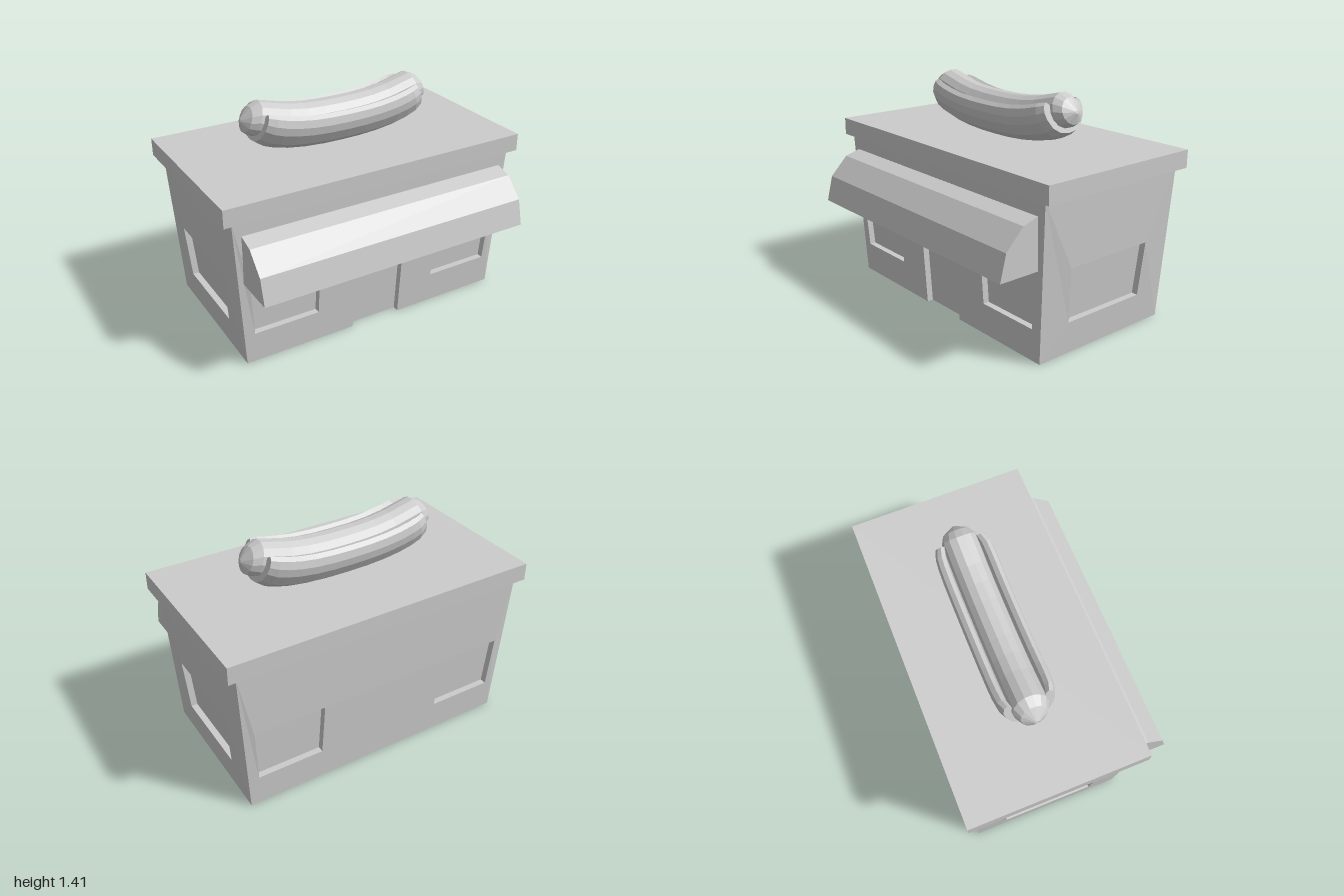
import * as THREE from 'three';

const MID_Z = -0.1125, HEIGHT = 0.97, RECESS = 0.04;
const material = new THREE.MeshStandardMaterial({ color: 0xcccccc, flatShading: true });

function part(name, geometry) {
  const mesh = new THREE.Mesh(geometry, material);
  mesh.name = name;
  return mesh;
}

function fromTriangles(positions, index) {
  const g = new THREE.BufferGeometry();
  g.setAttribute('position', new THREE.Float32BufferAttribute(positions, 3));
  if (index) g.setIndex(index);
  g.computeVertexNormals();
  return g;
}

// distance of a wall from the middle at height y: steep below the window heads, nearly upright above
function wallOut([bottom, head, top], y) {
  return y < 0.54
    ? THREE.MathUtils.lerp(bottom, head, y / 0.54)
    : THREE.MathUtils.lerp(head, top, (y - 0.54) / (HEIGHT - 0.54));
}

const v2 = (x, y) => new THREE.Vector2(x, y);

// flat shape pushed out to lean with its wall
function leaning(shape, out, inset = 0) {
  const g = new THREE.ShapeGeometry(shape);
  const p = g.attributes.position;
  for (let i = 0; i < p.count; i++) p.setZ(i, wallOut(out, p.getY(i)) - inset);
  g.computeVertexNormals();
  return g;
}

// sides of an opening, from the wall face back to the pane
function reveal(points, out) {
  const pos = [];
  points.forEach((p, i) => {
    const q = points[(i + 1) % points.length];
    if (p.y === 0 && q.y === 0) return;
    const zp = wallOut(out, p.y), zq = wallOut(out, q.y);
    const a = [p.x, p.y, zp], b = [q.x, q.y, zq];
    const c = [q.x, q.y, zq - RECESS], d = [p.x, p.y, zp - RECESS];
    pos.push(...a, ...b, ...c, ...a, ...c, ...d);
  });
  return fromTriangles(pos);
}

// one tapered wall facing +z, with recessed windows and an optional door
function makeWall(name, halfBottom, halfTop, out, windows, door) {
  const group = new THREE.Group();
  group.name = name;
  const outline = [v2(-halfBottom, 0)];
  if (door) outline.push(door[0], door[3], door[2], door[1]);
  outline.push(v2(halfBottom, 0), v2(halfTop, HEIGHT), v2(-halfTop, HEIGHT));
  const shape = new THREE.Shape(outline);
  windows.forEach((w) => shape.holes.push(new THREE.Path(w)));
  group.add(part('wallFace', leaning(shape, out)));
  const addOpening = (label, points) => {
    group.add(part(label + 'Pane', leaning(new THREE.Shape(points), out, RECESS)));
    group.add(part(label + 'Reveal', reveal(points, out)));
  };
  windows.forEach((w) => addOpening('window', w));
  if (door) addOpening('door', door);
  return group;
}

// centre line of the roof ornament, rising towards both ends
const RISE = 0.065, POWER = 2.6, END = 0.53;
function centreLine(x) {
  const k = Math.min(Math.abs(x), END) / 0.5;
  const slope = Math.sign(x) * RISE * POWER / 0.5 * k ** (POWER - 1);
  return { y: 1.235 + RISE * k ** POWER, angle: Math.atan(slope) };
}

// sweeps a (z, y) profile along the centre line; stations are [x, scale]
function sweep(halfStations, profile) {
  const stations = [...halfStations.slice(1).reverse().map(([x, s]) => [-x, s]), ...halfStations];
  const n = profile.length, pos = [], index = [];
  stations.forEach(([x, s], i) => {
    const { y, angle } = centreLine(x);
    profile.forEach((p, j) => {
      pos.push(x - Math.sin(angle) * p.y * s, y + Math.cos(angle) * p.y * s, MID_Z + p.x * s);
      if (i === stations.length - 1) return;
      const a = i * n + j, b = i * n + (j + 1) % n;
      index.push(a, a + n, b, b, a + n, b + n);
    });
  });
  const last = (stations.length - 1) * n;
  THREE.ShapeUtils.triangulateShape(profile, []).forEach(([a, b, c]) => {
    index.push(a, b, c, last + a, last + c, last + b);
  });
  return fromTriangles(pos, index);
}

export function createModel() {
  const model = new THREE.Group();
  model.name = 'foodStand';

  // walls
  const building = new THREE.Group();
  building.name = 'building';
  building.position.z = MID_Z;
  const rightWindow = [v2(0.415, 0.2), v2(0.835, 0.2), v2(0.855, 0.54), v2(0.405, 0.54)];
  const leftWindow = rightWindow.map((p) => v2(-p.x, p.y)).reverse();
  const sideWindow = [v2(-0.288, 0.2), v2(0.288, 0.2), v2(0.305, 0.54), v2(-0.305, 0.54)];
  const door = [v2(-0.168, 0), v2(0.168, 0), v2(0.18, 0.54), v2(-0.18, 0.54)];
  const outX = [0.89, 0.932, 0.945], outZ = [0.49, 0.517, 0.5225];
  const pair = [leftWindow, rightWindow];
  [
    makeWall('frontWall', 0.89, 0.945, outZ, pair, door),
    makeWall('leftWall', 0.49, 0.5225, outX, [sideWindow]),
    makeWall('backWall', 0.89, 0.945, outZ, pair),
    makeWall('rightWall', 0.49, 0.5225, outX, [sideWindow]),
  ].forEach((wall, i) => {
    wall.rotation.y = i * Math.PI / 2;
    building.add(wall);
  });

  // underside, notched at the doorway
  const d = 0.49 - RECESS;
  const floor = new THREE.ShapeGeometry(new THREE.Shape([
    v2(-0.89, -0.49), v2(-0.168, -0.49), v2(-0.168, -d), v2(0.168, -d),
    v2(0.168, -0.49), v2(0.89, -0.49), v2(0.89, 0.49), v2(-0.89, 0.49),
  ]));
  floor.rotateX(Math.PI / 2).scale(-1, 1, -1);
  building.add(part('floor', floor));

  // roof slab
  const roof = part('roof', new THREE.BoxGeometry(2, 0.11, 1.105));
  roof.position.y = 1.02;
  building.add(roof);
  model.add(building);

  // awning: side profile in (z, y), run along x
  const awningShape = new THREE.Shape([
    v2(-0.395, 0.565), v2(-0.395, 0.875), v2(-0.41, 0.875),
    v2(-0.51, 0.845), v2(-0.625, 0.725), v2(-0.665, 0.565),
  ]);
  const awning = new THREE.ExtrudeGeometry(awningShape, { depth: 1.78, bevelEnabled: false });
  awning.translate(0, 0, -0.89).rotateY(Math.PI / 2);
  model.add(part('awning', awning));

  // roof ornament: sausage in a bun
  const ornament = new THREE.Group();
  ornament.name = 'hotDog';
  const round = [];
  for (let i = 0; i < 14; i++) {
    const a = i / 14 * Math.PI * 2;
    round.push(v2(Math.cos(a) * 0.106, Math.sin(a) * 0.106));
  }
  ornament.add(part('sausage', sweep(
    [[0, 1], [0.12, 1], [0.24, 1], [0.36, 1], [0.46, 1], [0.55, 1], [0.6, 0.75], [0.638, 0.1]], round)));

  const half = [
    [0.07, -0.155], [0.13, -0.115], [0.168, -0.05], [0.178, 0], [0.168, 0.045],
    [0.143, 0.065], [0.118, 0.045], [0.11, 0], [0.093, -0.06], [0.05, -0.095],
  ];
  const bunProfile = [
    v2(0, -0.165), ...half.map(([z, y]) => v2(z, y)),
    v2(0, -0.105), ...half.map(([z, y]) => v2(-z, y)).reverse(),
  ];
  ornament.add(part('bun', sweep(
    [[0, 1], [0.12, 1], [0.24, 1], [0.34, 1], [0.42, 0.99], [0.48, 0.96], [0.53, 0.85]], bunProfile)));
  model.add(ornament);

  return model;
}
